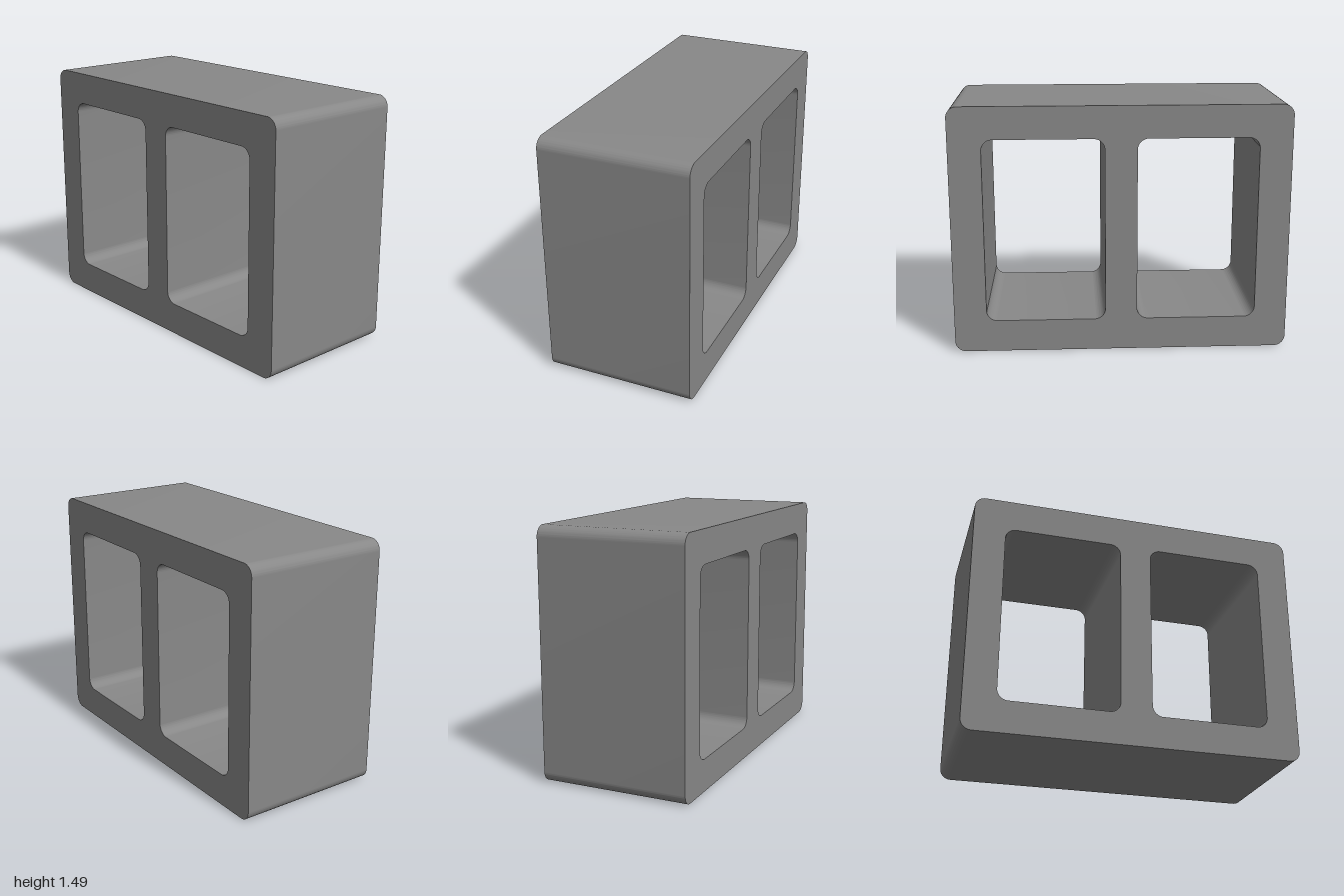
import * as THREE from 'three';
import { toCreasedNormals } from 'three/addons/utils/BufferGeometryUtils.js';

const HEIGHT = 1.487, DEPTH = 0.894, WALL = 0.193, WEB = 0.19, RADIUS = 0.065;

// Trace a rounded rectangle into a Shape or Path
function roundedRect(path, x0, y0, x1, y1, r) {
  path.absarc(x1 - r, y0 + r, r, -Math.PI / 2, 0);
  path.absarc(x1 - r, y1 - r, r, 0, Math.PI / 2);
  path.absarc(x0 + r, y1 - r, r, Math.PI / 2, Math.PI);
  path.absarc(x0 + r, y0 + r, r, Math.PI, Math.PI * 1.5);
  path.closePath();
  return path;
}

export function createModel() {
  const group = new THREE.Group();
  group.name = 'hollowBlock';

  // Outer block with two open cells either side of the central web
  const outline = roundedRect(new THREE.Shape(), -1, 0, 1, HEIGHT, RADIUS);
  const inner = WEB / 2, outer = 1 - WALL;
  for (const [x0, x1] of [[-outer, -inner], [inner, outer]]) {
    outline.holes.push(roundedRect(new THREE.Path(), x0, WALL, x1, HEIGHT - WALL, RADIUS));
  }

  const extruded = new THREE.ExtrudeGeometry(outline, {
    depth: DEPTH, bevelEnabled: false, curveSegments: 16,
  });
  extruded.translate(0, 0, -DEPTH / 2);

  // Smooth rounded corners, sharp front and back edges, dark concrete grey
  const block = new THREE.Mesh(
    toCreasedNormals(extruded, 0.6),
    new THREE.MeshStandardMaterial({ color: 0x888888 }),
  );
  block.name = 'block';
  group.add(block);
  return group;
}
